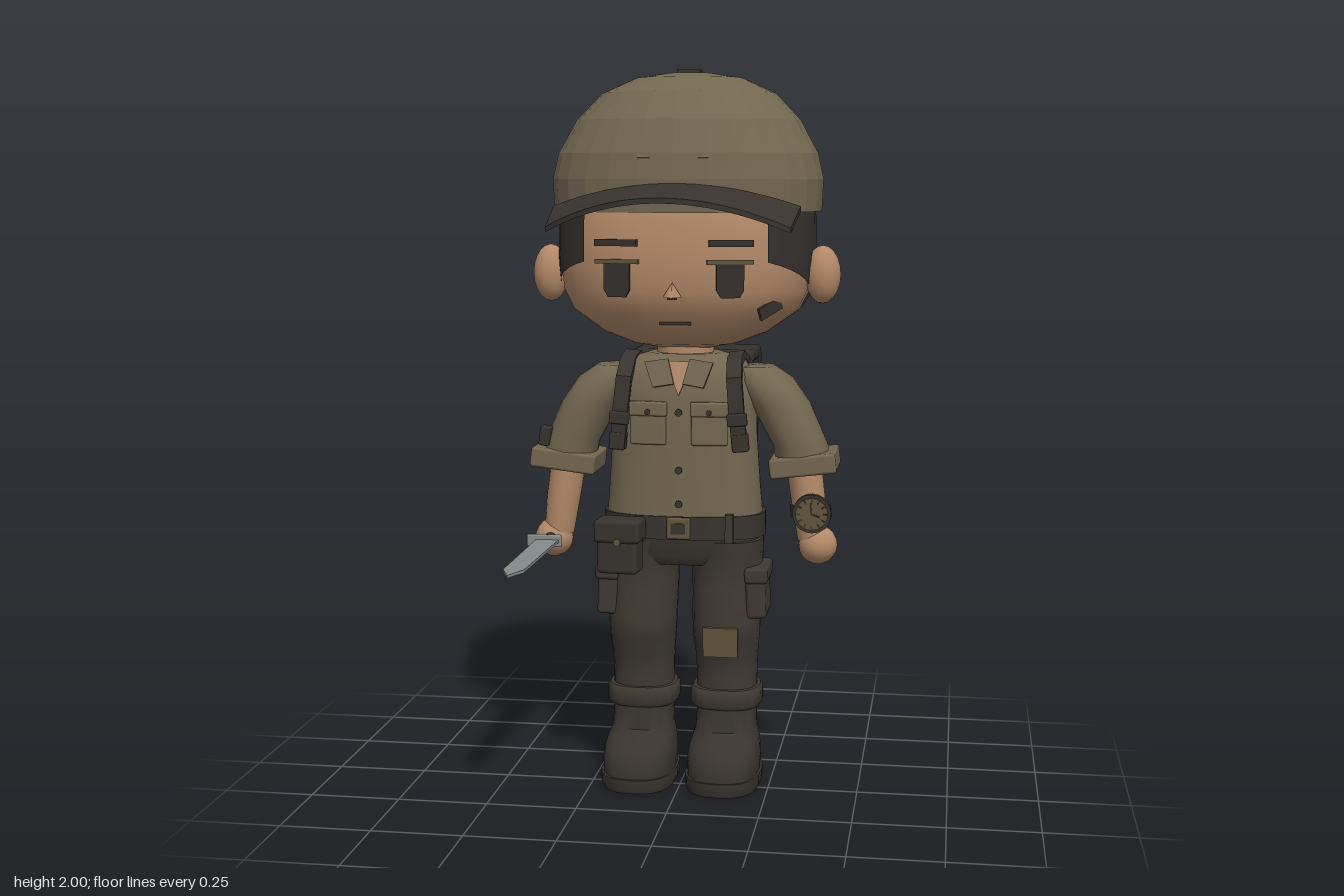
import * as THREE from 'three';
import { toCreasedNormals } from 'three/addons/utils/BufferGeometryUtils.js';
import { RoundedBoxGeometry } from 'three/addons/geometries/RoundedBoxGeometry.js';

const material = (name, color, extra = {}) => {
  const m = new THREE.MeshStandardMaterial({ color, ...extra });
  m.name = name;
  return m;
};

// Point on a rounded-square ring; angle 0 faces the front
function ringPoint(a, rx, rz, power) {
  const p = (v) => Math.sign(v) * Math.abs(v) ** (2 / power);
  return [rx * p(Math.sin(a)), rz * p(Math.cos(a))];
}

// Skin a grid of points: fn(column, row) -> [x, y, z]
function skin(cols, rows, fn) {
  const pos = [], idx = [];
  for (let r = 0; r <= rows; r++) for (let c = 0; c <= cols; c++) {
    pos.push(...fn(c, r));
    if (r < rows && c < cols) {
      const a = r * (cols + 1) + c, d = a + cols + 1;
      idx.push(a, a + 1, d + 1, a, d + 1, d);
    }
  }
  const g = new THREE.BufferGeometry();
  g.setAttribute('position', new THREE.Float32BufferAttribute(pos, 3));
  g.setIndex(idx);
  return g;
}

// Closed solid through level rings [x, y, z, rx, rz], listed from bottom to top
function loft(rings, power = 2, crease = 0.7, n = 24) {
  const end = (r) => [r[0], r[1], r[2], 1e-4, 1e-4];
  const all = [end(rings[0]), ...rings, end(rings[rings.length - 1])];
  const g = skin(n, all.length - 1, (c, r) => {
    const [x, y, z, rx, rz] = all[r];
    const [dx, dz] = ringPoint((c % n) / n * Math.PI * 2, rx, rz, power);
    return [x + dx, y, z + dz];
  });
  return toCreasedNormals(g, crease);
}

// Head outline [y, rx, rz, z]
const HEAD = [[1.236, .08, .06, -.11], [1.25, .15, .13, -.12], [1.28, .23, .19, -.135], [1.34, .315, .255, -.145],
  [1.4, .345, .28, -.148], [1.47, .352, .287, -.15], [1.62, .35, .285, -.15], [1.7, .31, .25, -.15]];
function headAt(y) {
  let i = 0;
  while (i < HEAD.length - 2 && HEAD[i + 1][0] < y) i++;
  const t = (y - HEAD[i][0]) / (HEAD[i + 1][0] - HEAD[i][0]);
  return HEAD[i].map((v, k) => v + (HEAD[i + 1][k] - v) * t);
}
function faceZ(x, y) {
  const [, rx, rz, z] = headAt(y);
  return z + rz * (1 - Math.abs(x / rx) ** 2.5) ** 0.4;
}

export function createModel() {
  const cloth = material('olive cloth', 0x736750), skinTone = material('skin', 0xb48a69);
  const trousers = material('dark trousers', 0x3f3932), leather = material('dark leather', 0x38332e);
  const hairMat = material('hair', 0x35302d, { side: THREE.DoubleSide }), canvas = material('pack canvas', 0x34302c);
  const steel = material('steel', 0x858b8a), patchMat = material('patch tan', 0x62553c);
  const capMat = material('cap cloth', 0x736750, { flatShading: true });
  const root = new THREE.Group();
  const add = (name, geo, mat, pos = [0, 0, 0], rot = [0, 0, 0]) => {
    const m = new THREE.Mesh(geo, mat);
    m.name = name;
    m.position.set(...pos);
    m.rotation.set(...rot);
    root.add(m);
    return m;
  };
  const box = (name, mat, size, pos, rot, r = 0) => add(name,
    r ? new RoundedBoxGeometry(...size, 2, r) : new THREE.BoxGeometry(...size), mat, pos, rot);
  const plate = (name, mat, pts, pos, rot, depth = .008) => add(name, new THREE.ExtrudeGeometry(
    new THREE.Shape(pts.map((p) => new THREE.Vector2(...p))), { depth, bevelEnabled: false }), mat, pos, rot);
  const disc = (name, mat, r, depth, pos) => add(name, new THREE.CylinderGeometry(r, r, depth, 20), mat, pos, [Math.PI / 2, 0, 0]);

  // Head and hair
  add('head', loft(HEAD.map(([y, rx, rz, z]) => [0, y, z, rx, rz]), 2.5, 1, 40), skinTone);
  const hair = skin(36, 10, (c, r) => {
    const a = .69 + c / 36 * (Math.PI * 2 - 1.38);
    const zMid = -.15 + ringPoint(a, .35, .285, 2.5)[1];
    const low = Math.max(1.3, 1.475 - (.07 - zMid) * .435);
    const y = low + (1.625 - low) * r / 10, [, rx, rz, z] = headAt(y);
    const [x, dz] = ringPoint(a, rx * 1.018, rz * 1.018, 2.5);
    return [x, y, z + dz];
  });
  hair.computeVertexNormals();
  add('hair', hair, hairMat);

  // Face
  const eyeShape = [[-.037, .048], [-.037, -.025], [-.025, -.045], [.025, -.045], [.037, -.025], [.037, .048]];
  for (const s of [-1, 1]) {
    const turn = [0, s * .22, 0];
    plate('eye', hairMat, eyeShape, [s * .152, 1.432, faceZ(.152, 1.432) + .001], turn);
    box('eyelid', patchMat, [.125, .012, .012], [s * .153, 1.482, faceZ(.153, 1.48) + .004], turn);
    box('eyebrow', hairMat, [.12, .018, .014], [s * .155, 1.532, faceZ(.155, 1.53) + .004], turn);
    const ear = add('ear', new THREE.SphereGeometry(.05, 14, 10), skinTone, [s * .382, 1.44, -.098]);
    ear.scale.set(1, 1.6, 1);
  }
  add('nose', new THREE.ConeGeometry(.026, .04, 4), skinTone, [0, 1.408, faceZ(0, 1.41) + .01]);
  box('nostrils', leather, [.025, .006, .012], [0, 1.386, faceZ(0, 1.39) + .018]);
  box('mouth', leather, [.085, .008, .008], [0, 1.315, faceZ(0, 1.315) + .002]);
  box('cheekMark', leather, [.08, .035, .008], [.252, 1.355, faceZ(.252, 1.355) + .004], [.2, .85, .25]);

  // Cap with top button, front patch and curved brim
  add('cap', loft([[0, 1.612, -.15, .374, .293], [0, 1.7, -.152, .378, .296], [0, 1.77, -.155, .362, .29], [0, 1.86, -.165, .313, .268],
    [0, 1.935, -.175, .242, .222], [0, 1.977, -.18, .15, .135], [0, 1.99, -.18, .07, .065]], 2.2, .01, 28), capMat);
  box('capButton', leather, [.064, .02, .056], [0, 1.99, -.182]);
  box('capPatch', cloth, [.19, .1, .01], [0, 1.8, .108], [-.42, 0, 0]);
  const brim = new THREE.BoxGeometry(2, 1, 1, 20, 1, 4), p = brim.attributes.position;
  for (let i = 0; i < p.count; i++) {
    const u = p.getX(i), v = p.getZ(i) + .5, q = u * u;
    p.setXYZ(i, u * (.335 - .012 * v), 1.682 - .06 * q - v * (.035 + .018 * q) + p.getY(i) * .014,
      .142 - .066 * q + v * (.231 - .07 * q));
  }
  add('brim', toCreasedNormals(brim, .5), leather);

  // Neck and shirt
  add('neck', loft([[0, 1.18, -.105, .08, .08], [0, 1.27, -.105, .08, .08]]), skinTone);
  add('shirt', loft([[0, .745, -.1, .222, .128], [0, .85, -.097, .213, .126], [0, 1, -.095, .203, .125], [0, 1.1, -.095, .202, .124],
    [0, 1.16, -.095, .195, .117], [0, 1.205, -.1, .165, .1], [0, 1.222, -.105, .1, .085]], 2.6, 1, 32), cloth);
  plate('openNeck', skinTone, [[-.04, .045], [0, -.05], [.04, .045]], [0, 1.16, .02], [-.22, 0, 0]);
  for (const y of [1.065, .905, .81]) disc('shirtButton', leather, .01, .01, [0, y, .032]);
  for (const s of [-1, 1]) {
    plate('collar', cloth, s > 0 ? [[.03, .04], [.012, -.03], [.07, -.04], [.095, .03]]
      : [[-.095, .03], [-.07, -.04], [-.012, -.03], [-.03, .04]], [0, 1.172, .024], [-.25, 0, 0], .012);
    box('chestPocket', cloth, [.1, .11, .02], [s * .085, 1.03, .026], [0, s * .1, 0], .006);
    box('pocketFlap', cloth, [.106, .04, .024], [s * .085, 1.075, .03], [0, s * .1, 0], .006);
    disc('pocketButton', leather, .008, .01, [s * .085, 1.067, .041]);
  }

  // Arms
  for (const s of [-1, 1]) {
    add('sleeve', loft([[s * .332, .92, -.105, .075, .09], [s * .325, .965, -.105, .077, .093], [s * .268, 1.08, -.11, .083, .102],
      [s * .222, 1.15, -.11, .08, .098], [s * .195, 1.185, -.11, .055, .07]], 2.3, 1.2), cloth);
    box('cuff', cloth, [.185, .056, .19], [s * .337, .916, -.107], [0, 0, s * .12], .008);
    add('forearm', loft([[s * .362, .7, -.088, .042, .045], [s * .35, .8, -.092, .048, .056], [s * .335, .91, -.1, .05, .062]]), skinTone);
    add('hand', new THREE.SphereGeometry(.055, 16, 10), skinTone, [s * .377, .686, -.085]);
  }
  box('sleevePouch', leather, [.03, .055, .04], [-.388, .985, -.035], [0, 0, -.15], .006);

  // Wristwatch
  add('watchStrap', loft([[.357, .765, -.095, .058, .07], [.354, .8, -.095, .058, .07]]), leather);
  disc('watchCase', leather, .054, .02, [.365, .785, -.02]);
  disc('watchFace', patchMat, .045, .008, [.365, .785, -.009]);
  for (let i = 0; i < 12; i++) {
    const a = i * Math.PI / 6;
    box('watchTick', leather, [.004, .01, .004], [.365 + .037 * Math.sin(a), .785 + .037 * Math.cos(a), -.004], [0, 0, -a]);
  }
  box('watchHand', leather, [.005, .035, .004], [.363, .8, -.004], [0, 0, .1]);
  box('watchHand', leather, [.005, .026, .004], [.376, .781, -.004], [0, 0, 1.2]);

  // Knife
  plate('blade', steel, [[-.032, 0], [.032, 0], [.028, -.4], [0, -.472], [-.028, -.4]], [-.377, .687, .008], [-Math.PI / 2, 0, 0]);
  box('knifeGuard', steel, [.1, .035, .014], [-.388, .69, -.003], [0, 0, 0], .005);
  add('knifeHandle', new THREE.CylinderGeometry(.018, .018, .16, 10), leather, [-.377, .69, -.08], [Math.PI / 2, 0, 0]);

  // Hips, belt and belt pouch
  add('hips', loft([[0, .63, -.11, .15, .1], [0, .66, -.11, .212, .12], [0, .75, -.103, .215, .126]], 2.6), trousers);
  add('belt', loft([[0, .71, -.102, .228, .135], [0, .775, -.102, .228, .135]], 2.6, .7, 32), leather);
  box('buckle', patchMat, [.066, .06, .014], [0, .743, .035], [0, 0, 0], .005);
  box('bucklePlate', leather, [.04, .03, .008], [0, .743, .041]);
  for (const [x, z] of [[.14, .022], [.1, -.235], [-.1, -.235]]) box('beltLoop', trousers, [.022, .08, .02], [x, .743, z]);
  box('beltPouch', leather, [.115, .14, .08], [-.16, .69, .055], [0, -.1, 0], .012);
  box('pouchFlap', leather, [.13, .065, .09], [-.16, .74, .058], [0, -.1, 0], .012);
  disc('pouchStud', patchMat, .01, .01, [-.16, .712, .104]);

  // Legs and boots
  for (const s of [-1, 1]) {
    const x = s * .12;
    add('trouserLeg', loft([[x, .2, -.108, .086, .088], [x, .3, -.11, .086, .087], [x, .36, -.107, .088, .088], [x, .42, -.095, .094, .105],
      [x, .47, -.094, .096, .108], [x, .55, -.11, .098, .108], [x, .63, -.115, .1, .115], [x * .95, .7, -.108, .108, .122]], 2.4, 1.2), trousers);
    add('legCuff', loft([[x, .215, -.108, .095, .098], [x, .225, -.108, .102, .105], [x, .262, -.108, .102, .105],
      [x, .272, -.108, .095, .098]], 2.6), trousers);
    box('cargoPocket', trousers, [.055, .135, .15], [s * .21, .55, -.085], [0, 0, s * .04], .01);
    box('cargoFlap', trousers, [.065, .045, .165], [s * .211, .605, -.085], [0, 0, s * .04], .01);
    add('boot', loft([[x, .03, -.043, .1, .152], [x, .075, -.043, .102, .153], [x, .105, -.055, .1, .138], [x, .13, -.078, .094, .116],
      [x, .15, -.1, .087, .094], [x, .225, -.106, .083, .09]], 2.6, 1), leather);
    add('sole', loft([[x, 0, -.043, .102, .154], [x, .012, -.043, .107, .159], [x, .04, -.043, .107, .159]], 2.6), leather);
  }
  box('kneePatch', patchMat, [.098, .085, .009], [.115, .418, .012], [.1, 0, 0]);

  // Backpack
  box('pack', canvas, [.35, .36, .185], [0, 1.02, -.318], [0, 0, 0], .025);
  box('packLid', canvas, [.355, .175, .06], [0, 1.125, -.425], [0, 0, 0], .02);
  box('packLidTop', canvas, [.355, .04, .2], [0, 1.195, -.34], [0, 0, 0], .015);
  box('packPocket', canvas, [.29, .135, .055], [0, .925, -.428], [0, 0, 0], .018);
  box('packPocketFlap', canvas, [.3, .04, .06], [0, .975, -.428], [0, 0, 0], .012);
  box('packStrap', leather, [.04, .18, .016], [0, 1.03, -.46], [0, 0, 0], .005);
  box('packClasp', patchMat, [.05, .045, .014], [0, 1.03, -.467], [0, 0, 0], .004);
  box('packPatch', patchMat, [.085, .07, .009], [.09, 1.12, -.458], [0, 0, .2]);
  add('packHandle', new THREE.TorusGeometry(.045, .009, 6, 14, Math.PI), leather, [0, 1.205, -.32]);

  // Shoulder straps, drawn from the side and given width
  const strapLine = [[.042, .965], [.046, 1.08], [.035, 1.165], [-.02, 1.215], [-.1, 1.226], [-.19, 1.2], [-.24, 1.12]];
  const inner = strapLine.map(([z, y]) => [-.1 + (z + .1) * .85, 1 + (y - 1) * .9]).reverse();
  for (const s of [-1, 1]) {
    const strap = new THREE.ExtrudeGeometry(new THREE.Shape([...strapLine, ...inner].map((q) => new THREE.Vector2(...q))),
      { depth: .042, bevelEnabled: false });
    strap.translate(0, -1.1, -.021).rotateY(-Math.PI / 2);
    add('shoulderStrap', strap, leather, [s * .158, 1.1, 0], [0, 0, s * .09]);
    box('strapBuckle', leather, [.055, .035, .02], [s * .163, 1.05, .044], [0, 0, s * .09], .005);
    box('strapEnd', leather, [.045, .05, .04], [s * .17, .985, .025], [0, 0, s * .09], .006);
  }
  return root;
}
